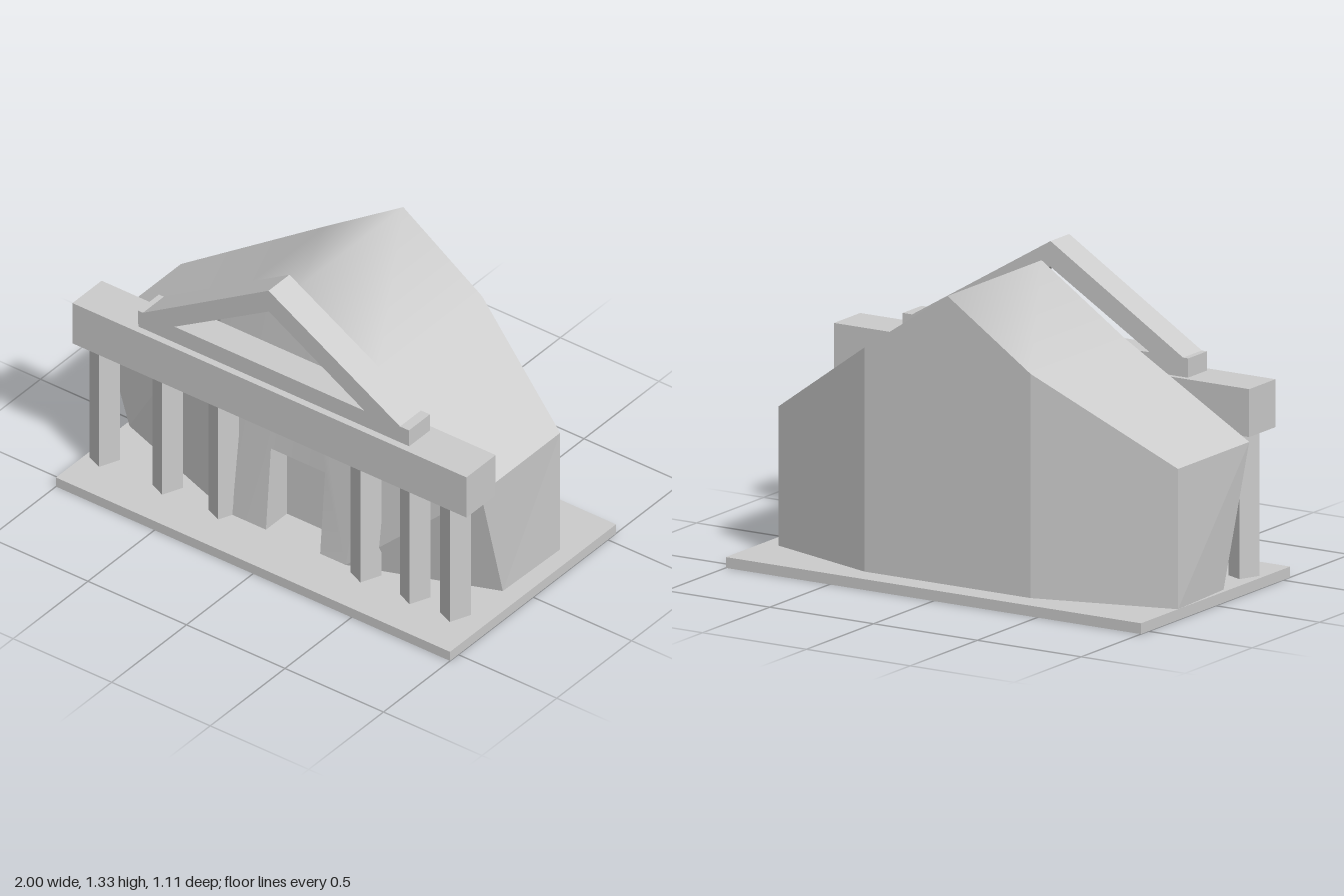
import * as THREE from 'three';

const material = new THREE.MeshStandardMaterial({ color: 0xcccccc });
const doubleSided = new THREE.MeshStandardMaterial({ color: 0xcccccc, side: THREE.DoubleSide });
const inside = new THREE.MeshStandardMaterial({ color: 0xcccccc, side: THREE.BackSide });

const FLOOR = 0.045;

function add(parent, name, geometry, mat = material) {
  const mesh = new THREE.Mesh(geometry, mat);
  mesh.name = name;
  parent.add(mesh);
  return mesh;
}

// box given by its min and max corners
function box(x0, x1, y0, y1, z0, z1) {
  return new THREE.BoxGeometry(x1 - x0, y1 - y0, z1 - z0)
    .translate((x0 + x1) / 2, (y0 + y1) / 2, (z0 + z1) / 2);
}

function moveVertices(geometry, rule) {
  const p = geometry.attributes.position;
  const v = new THREE.Vector3();
  for (let i = 0; i < p.count; i++) {
    rule(v.fromBufferAttribute(p, i));
    p.setXYZ(i, v.x, v.y, v.z);
  }
  geometry.computeVertexNormals();
  return geometry;
}

function polygon(points) {
  return points.map(([x, y]) => new THREE.Vector2(x, y));
}

// flat-shaded surface from four-cornered faces
function quads(faces) {
  const pos = [];
  for (const [a, b, c, d] of faces) pos.push(...a, ...b, ...c, ...a, ...c, ...d);
  const g = new THREE.BufferGeometry();
  g.setAttribute('position', new THREE.Float32BufferAttribute(pos, 3));
  g.computeVertexNormals();
  return g;
}

// the front wall leans back from the floor up to the roof shoulders
const frontZ = (y) => Math.max(0.25, 0.33 - (y - FLOOR) * 0.0856);

function createHall() {
  const hall = new THREE.Group();
  hall.name = 'hall';

  // cross-sections along x: roof height, back z, foot of the front wall
  const sections = [
    { x: -1, top: 0.63, back: -0.28, footX: -0.98, footZ: 0.09 },
    { x: -0.4, top: 0.98, back: -0.45, footX: -0.3, footZ: 0.33 },
    { x: 0, top: 1.25, back: -0.45, footX: 0, footZ: 0.33 },
    { x: 0.4, top: 0.98, back: -0.45, footX: 0.3, footZ: 0.33 },
    { x: 0.925, top: 0.625, back: -0.28, footX: 0.915, footZ: 0.09 },
  ].map((s) => ({
    backFoot: [s.x, FLOOR, s.back],
    backTop: [s.x, s.top, s.back],
    frontTop: [s.x, s.top, 0.25],
    frontFoot: [s.footX, FLOOR, s.footZ],
  }));

  // back, side and slanted front walls
  const walls = [];
  for (let i = 0; i < 4; i++) {
    const a = sections[i], b = sections[i + 1];
    walls.push([b.backFoot, a.backFoot, a.backTop, b.backTop]);
    if (i === 0 || i === 3) walls.push([a.frontFoot, b.frontFoot, b.frontTop, a.frontTop]);
  }
  const l = sections[0], r = sections[4];
  walls.push([l.backFoot, l.frontFoot, l.frontTop, l.backTop]);
  walls.push([r.frontFoot, r.backFoot, r.backTop, r.frontTop]);
  add(hall, 'walls', quads(walls), doubleSided);

  // softly shaded roof
  const roof = new THREE.BufferGeometry();
  const index = [];
  for (let i = 0; i < 4; i++) {
    const k = i * 2;
    index.push(k, k + 1, k + 3, k, k + 3, k + 2);
  }
  roof.setAttribute('position', new THREE.Float32BufferAttribute(
    sections.flatMap((s) => [...s.backTop, ...s.frontTop]), 3));
  roof.setIndex(index);
  roof.computeVertexNormals();
  add(hall, 'roof', roof, doubleSided);

  // front wall with the doorway cut out
  const [x0, x1, doorTop] = [-0.105, 0.17, 0.43];
  const wall = new THREE.Shape(polygon([
    [-0.3, FLOOR], [x0, FLOOR], [x0, doorTop], [x1, doorTop], [x1, FLOOR],
    [0.3, FLOOR], [0.4, 0.98], [0, 1.25], [-0.4, 0.98],
  ]));
  add(hall, 'frontWall', moveVertices(new THREE.ShapeGeometry(wall),
    (v) => { v.z = frontZ(v.y); }), doubleSided);

  // recess behind the doorway
  add(hall, 'doorway', moveVertices(box(x0, x1, FLOOR, doorTop, 0.19, 0.3),
    (v) => { if (v.z > 0.25) v.z = frontZ(v.y); }), inside);
  return hall;
}

function createPortico() {
  const portico = new THREE.Group();
  portico.name = 'portico';

  // turned rectangular columns
  for (const x of [-0.923, -0.603, -0.319, 0.403, 0.653, 0.857]) {
    const column = add(portico, 'column', new THREE.BoxGeometry(0.079, 0.65 - FLOOR, 0.098));
    column.position.set(x, (0.65 + FLOOR) / 2, 0.33);
    column.rotation.y = -0.4;
  }

  add(portico, 'entablature', box(-1, 1, 0.65, 0.85, 0.25, 0.445));

  // open triangular gable, leaning slightly forward
  const gable = new THREE.Shape(polygon([
    [-0.69, 0.85], [0.685, 0.85], [0.685, 0.93], [0.64, 0.93],
    [-0.02, 1.325], [-0.665, 0.93], [-0.69, 0.93],
  ]));
  gable.holes.push(new THREE.Path(polygon([[-0.505, 0.93], [-0.02, 1.22], [0.46, 0.93]])));
  const geometry = new THREE.ExtrudeGeometry(gable, { depth: 0.14, bevelEnabled: false });
  add(portico, 'pediment', moveVertices(geometry,
    (v) => { v.z += 0.273 + (v.y - 0.85) * 0.025; }));
  return portico;
}

export function createModel() {
  const model = new THREE.Group();
  model.name = 'temple';
  add(model, 'base', box(-1, 1, 0, FLOOR, -0.555, 0.555));
  model.add(createHall(), createPortico());
  return model;
}
